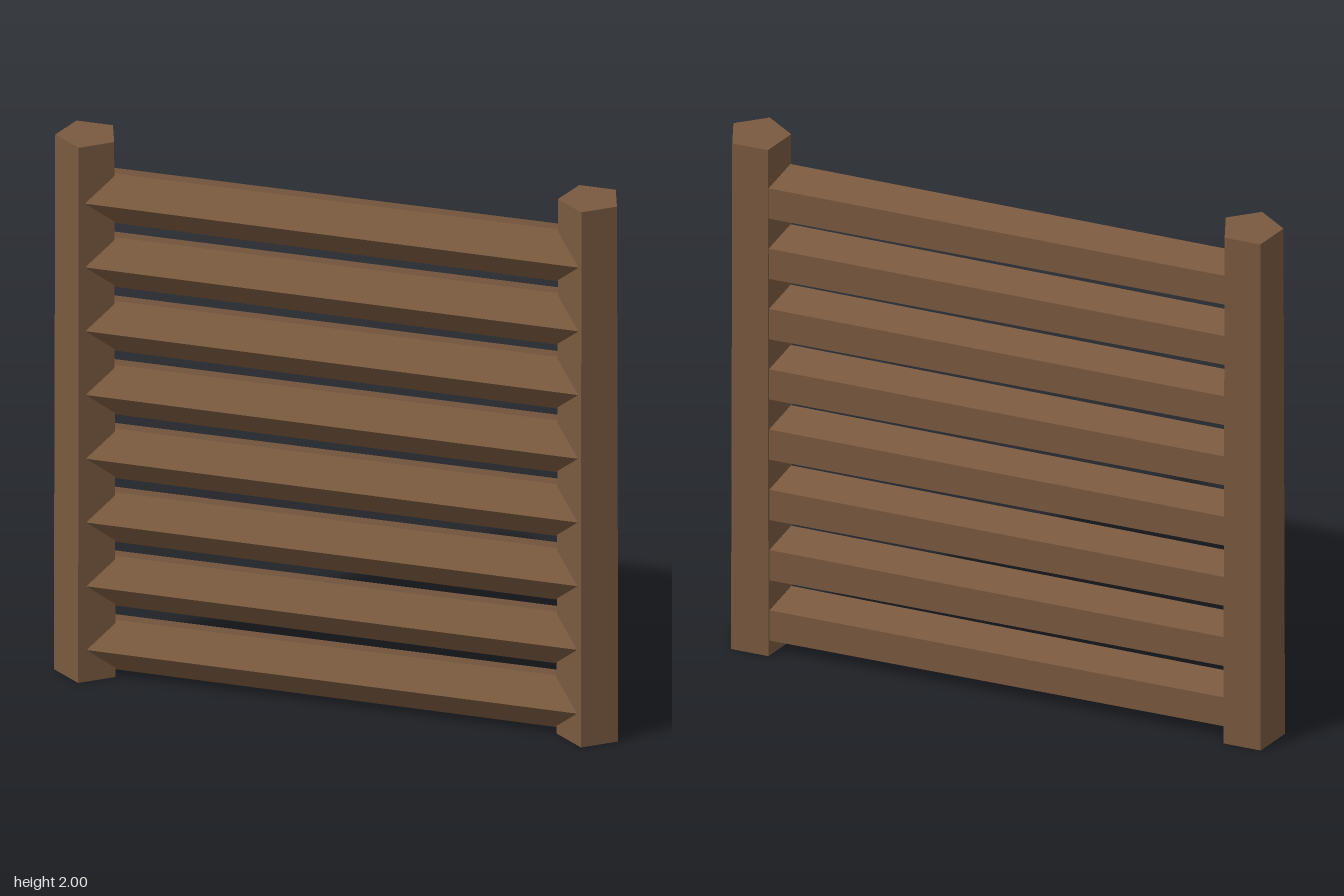
import * as THREE from 'three';

export function createModel() {
  const group = new THREE.Group();
  const wood = new THREE.MeshStandardMaterial({ color: 0x7a5a40, flatShading: true });
  wood.name = 'brown wood';

  // Five-sided, slightly tapered beam with one edge pointing to the front
  const beam = (rTop, rBottom, length) => new THREE.CylinderGeometry(rTop, rBottom, length, 5);

  // Upright posts
  const postGeo = beam(0.108, 0.113, 2);
  for (const [name, side] of [['leftPost', 1], ['rightPost', -1]]) {
    const post = new THREE.Mesh(postGeo, wood);
    post.name = name;
    post.position.set(side * 0.876, 1, -0.011);
    group.add(post);
  }

  // Horizontal rails, thicker toward +x, with ends buried in the posts
  const railGeo = beam(0.102, 0.097, 1.75).rotateZ(-Math.PI / 2);
  for (let i = 0; i < 8; i++) {
    const rail = new THREE.Mesh(railGeo, wood);
    rail.name = `rail${i + 1}`;
    rail.position.set(0, 0.118 + i * 0.2385, -0.013);
    group.add(rail);
  }
  return group;
}
